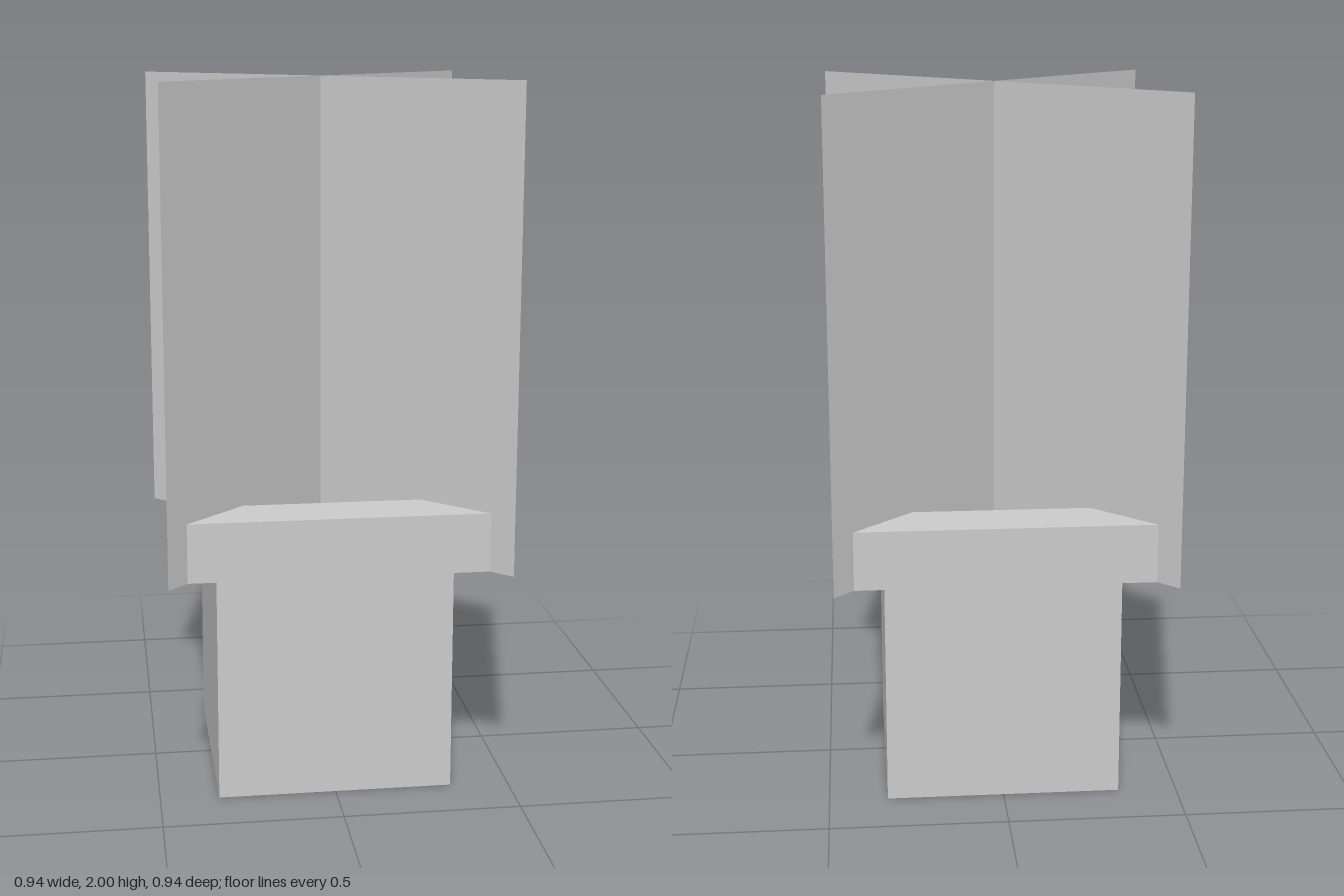
import * as THREE from 'three';

export function createModel() {
  const group = new THREE.Group();
  const px = 1 / 12; // modelling unit
  const material = new THREE.MeshStandardMaterial({ color: 0xcccccc, flatShading: true });
  const leafMaterial = new THREE.MeshStandardMaterial({ color: 0xcccccc, side: THREE.DoubleSide });

  const add = (name, geometry, mat) => {
    const mesh = new THREE.Mesh(geometry, mat);
    mesh.name = name;
    group.add(mesh);
    return mesh;
  };

  // Pot body; its top face is the soil inside the rim
  add('potBody', new THREE.BoxGeometry(8 * px, 8 * px, 8 * px), material).position.y = 4 * px;

  // Square rim with a square opening
  const square = (Type, h) => new Type([[-h, -h], [h, -h], [h, h], [-h, h]].map(([x, y]) => new THREE.Vector2(x, y)));
  const rimShape = square(THREE.Shape, 5 * px);
  rimShape.holes.push(square(THREE.Path, 3 * px));
  const rimGeometry = new THREE.ExtrudeGeometry(rimShape, { depth: 2 * px, bevelEnabled: false });
  rimGeometry.rotateX(-Math.PI / 2);
  add('potRim', rimGeometry, material).position.y = 8 * px;

  // Two crossed upright planes standing on the soil
  [1, -1].forEach((side, i) => {
    const plane = add(`plantPlane${i + 1}`, new THREE.PlaneGeometry(16 * px * Math.SQRT1_2 * Math.SQRT2, 16 * px), leafMaterial);
    plane.rotation.y = side * Math.PI / 4;
    plane.position.y = 16 * px;
    plane.scale.x = 1;
  });

  return group;
}
